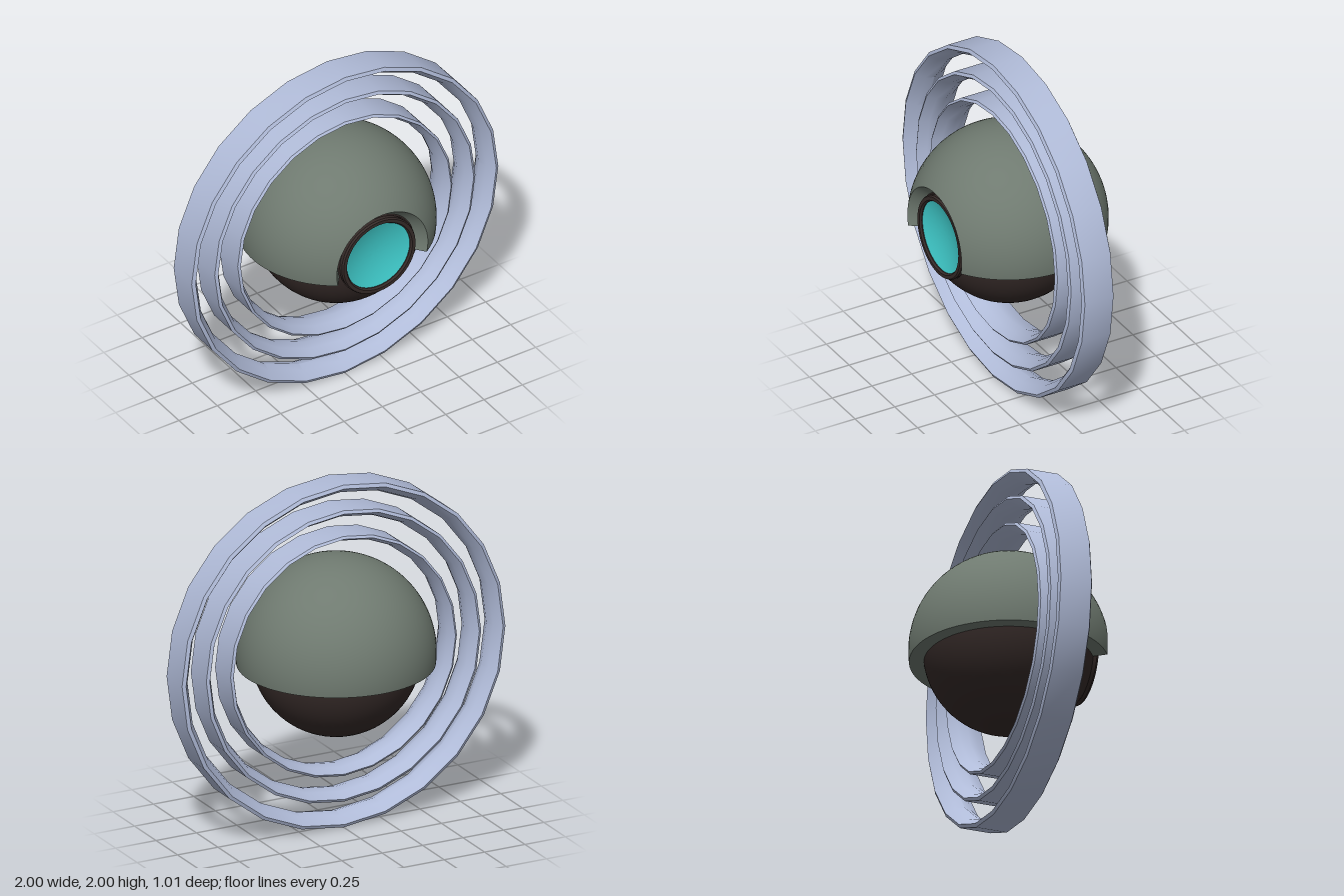
import * as THREE from 'three';
import { toCreasedNormals } from 'three/addons/utils/BufferGeometryUtils.js';

const mat = (color) => new THREE.MeshStandardMaterial({ color, side: THREE.DoubleSide });
const ringMat = mat(0xb0bbd8), shellMat = mat(0x6f7a70), bodyMat = mat(0x352a28), lensMat = mat(0x40cccc);

const R = 0.55, HOLE = 0.297;          // shell radius and its front opening
const BODY = 0.47, RIM = 0.24;         // inner ball and eye rim
const CUT = -0.067;                    // height of the shell's lower edge

// Revolve a [radius, depth] profile around the front-to-back axis
function turned(name, profile, segments, material, crease) {
  const geo = new THREE.LatheGeometry(profile.map(([r, z]) => new THREE.Vector2(r, z)), segments);
  geo.rotateX(Math.PI / 2);
  const mesh = new THREE.Mesh(toCreasedNormals(geo, crease), material);
  mesh.name = name;
  return mesh;
}

// Surface through equally long rows of points
function loft(rows) {
  const n = rows[0].length, index = [];
  for (let i = 0; i < rows.length - 1; i++) {
    for (let j = 0; j < n - 1; j++) {
      const a = i * n + j, b = a + n;
      index.push(a, b, a + 1, b, b + 1, a + 1);
    }
  }
  const geo = new THREE.BufferGeometry().setFromPoints(rows.flat());
  geo.setIndex(index);
  geo.computeVertexNormals();
  return geo;
}

// Horizontal arc on a sphere, leaving out a round opening at the front
function arc(radius, hole, y, n = 64) {
  const r = Math.sqrt(Math.max(radius * radius - y * y, 0));
  const gap = Math.abs(y) < hole ? Math.asin(Math.sqrt(hole * hole - y * y) / r) : 0;
  return Array.from({ length: n + 1 }, (_, j) => {
    const a = gap + (2 * Math.PI - 2 * gap) * j / n;
    return new THREE.Vector3(r * Math.sin(a), y, r * Math.cos(a));
  });
}

// Heights that step evenly around the opening, from its top to the cut
function openingHeights(hole, n = 20) {
  const low = Math.asin(CUT / hole);
  return Array.from({ length: n + 1 }, (_, i) => hole * Math.sin(Math.PI / 2 + (low - Math.PI / 2) * i / n));
}

function makeShell() {
  const shell = new THREE.Group();
  shell.name = 'upperShell';
  const add = (name, geo) => {
    const mesh = new THREE.Mesh(geo, shellMat);
    mesh.name = name;
    shell.add(mesh);
  };

  // Outer dome
  const top = Math.acos(HOLE / R), heights = [];
  for (let i = 0; i < 16; i++) heights.push(R * Math.cos(top * i / 16));
  heights.push(...openingHeights(HOLE));
  const dome = loft(heights.map((y) => arc(R, HOLE, y)));
  const p = dome.attributes.position, v = new THREE.Vector3();
  for (let i = 0; i < p.count; i++) {
    v.fromBufferAttribute(p, i).normalize();
    dome.attributes.normal.setXYZ(i, v.x, v.y, v.z);
  }
  add('shellDome', dome);

  // Sloped lip around the eye opening: up one side and down the other
  const edge = (radius, hole) => {
    const rows = openingHeights(hole).map((y) => arc(radius, hole, y));
    const left = rows.map((row) => row[0]), right = rows.map((row) => row[row.length - 1]);
    return [...left.reverse(), ...right.slice(1)];
  };
  add('eyeOpeningLip', loft([edge(BODY - 0.005, RIM + 0.005), edge(R, HOLE)]));

  // Flat underside of the shell wall
  add('shellLowerEdge', loft([arc(R, HOLE, CUT), arc(BODY - 0.005, RIM + 0.005, CUT)]));
  return shell;
}

export function createModel() {
  const model = new THREE.Group();
  model.name = 'ringedEyeSphere';
  model.position.set(0, 1, 0.037);

  // Concentric rings with bevelled outer edges and a bulging inner face
  [['outerRing', 1], ['middleRing', 0.85], ['innerRing', 0.7]].forEach(([name, r]) => {
    const t = 0.07 * r, w = 0.1;
    model.add(turned(name, [
      [r, -0.09], [r, 0.09], [r - 0.28 * t, w], [r - 0.78 * t, w / 2], [r - t, 0],
      [r - 0.78 * t, -w / 2], [r - 0.28 * t, -w], [r, -0.09],
    ], 24, ringMat, 0.6));
  });

  // Inner ball, open at the front
  const ball = [], front = Math.acos(RIM / BODY);
  for (let i = 0; i <= 32; i++) {
    const a = -Math.PI / 2 + (front + Math.PI / 2) * i / 32;
    ball.push([Math.max(BODY * Math.cos(a), 0), BODY * Math.sin(a)]);
  }
  model.add(turned('innerBall', ball, 64, bodyMat, 0.6));

  // Eye rim and shallow dished lens
  model.add(turned('eyeRim', [
    [0.236, 0.39], [0.24, 0.425], [0.234, 0.436], [0.214, 0.436], [0.206, 0.425], [0.206, 0.4],
  ], 48, bodyMat, 0.6));
  const lens = [];
  for (let i = 0; i <= 8; i++) {
    const r = 0.207 * (1 - i / 8);
    lens.push([r, 0.385 + 0.035 * (r / 0.207) ** 2]);
  }
  model.add(turned('eyeLens', lens, 48, lensMat, 0.6));

  model.add(makeShell());

  const root = new THREE.Group();
  root.add(model);
  return root;
}
